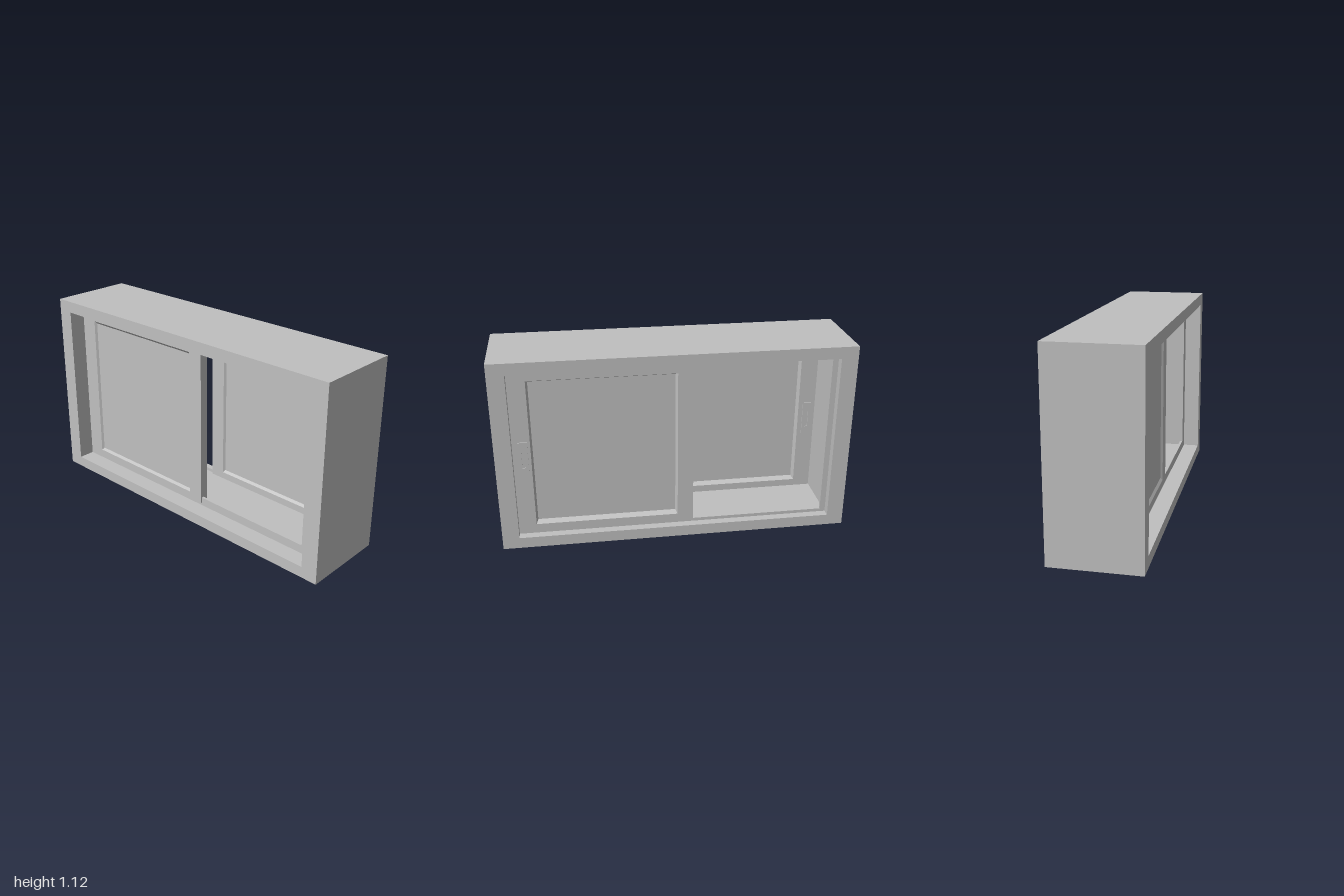
import * as THREE from 'three';

// Lofts rectangular loops [x, z0, z1, y0, y1]; either caps both ends or closes into a ring
function loftRects(loops, closed) {
  const corners = loops.map(([x, z0, z1, y0, y1]) =>
    [[x, y0, z1], [x, y0, z0], [x, y1, z0], [x, y1, z1]]);
  const pos = [];
  const quad = (a, b, c, d) => [a, b, c, a, c, d].forEach((p) => pos.push(...p));
  const n = corners.length;
  for (let k = 0; k < (closed ? n : n - 1); k++) {
    const A = corners[k], B = corners[(k + 1) % n];
    for (let i = 0; i < 4; i++) {
      const j = (i + 1) % 4;
      quad(A[i], A[j], B[j], B[i]);
    }
  }
  if (!closed) {
    const S = corners[0], E = corners[n - 1];
    quad(S[3], S[2], S[1], S[0]);
    quad(E[0], E[1], E[2], E[3]);
  }
  const g = new THREE.BufferGeometry();
  g.setAttribute('position', new THREE.Float32BufferAttribute(pos, 3));
  g.computeVertexNormals();
  return g;
}

// Rectangular ring between x0 and x1 with an outer and an inner rectangle
function ring(x0, x1, outer, inner) {
  return loftRects([[x0, ...outer], [x1, ...outer], [x1, ...inner], [x0, ...inner]], true);
}

export function createModel() {
  const group = new THREE.Group();
  const grey = new THREE.MeshStandardMaterial({ color: 0xc0c0c0 });
  grey.name = 'grey';

  const add = (name, geometry, parent = group) => {
    const m = new THREE.Mesh(geometry, grey);
    m.name = name;
    parent.add(m);
    return m;
  };

  // Deep outer casing
  const opening = [-0.905, 0.905, 0.065, 1.052];
  add('outerFrame', ring(-0.25, 0.25, [-1, 1, 0, 1.12], opening));

  // Guide rails the sashes run in
  add('frontRail', ring(0.188, 0.203, opening, [-0.873, 0.885, 0.084, 1.037]));
  add('backRail', ring(-0.152, -0.137, opening, [-0.83, 0.83, 0.115, 1.002]));

  // Sash: flat border with splayed reveals down to a thin pane on both sides
  function sash(name, x, outer, glass, handleZ) {
    const s = new THREE.Group();
    s.name = name;
    const [z0, z1, y0, y1] = glass;
    const pane = [z0 + 0.01, z1 - 0.01, y0 + 0.014, y1 - 0.014];
    add('sashPanel', loftRects([
      [x + 0.012, ...pane],
      [x, ...glass],
      [x, ...outer],
      [x + 0.05, ...outer],
      [x + 0.05, ...glass],
      [x + 0.018, ...pane],
    ], false), s);

    // Slim pull plate with a slot
    const w = 0.026, h = 0.1;
    const plate = new THREE.Shape([
      new THREE.Vector2(-w, -h), new THREE.Vector2(w, -h),
      new THREE.Vector2(w, h), new THREE.Vector2(-w, h)]);
    plate.holes.push(new THREE.Path([
      new THREE.Vector2(-0.009, -0.055), new THREE.Vector2(-0.009, 0.055),
      new THREE.Vector2(0.009, 0.055), new THREE.Vector2(0.009, -0.055)]));
    const pull = add('pullPlate',
      new THREE.ExtrudeGeometry(plate, { depth: 0.006, bevelEnabled: false }), s);
    pull.rotation.y = Math.PI / 2;
    pull.position.set(x + 0.05, 0.545, handleZ);
    group.add(s);
  }
  sash('frontSash', 0.155, [-0.1, 0.886, 0.08, 1.04], [-0.01, 0.805, 0.122, 1.0], 0.847);
  sash('backSash', -0.157, [-0.887, 0.1, 0.08, 1.04], [-0.795, 0.01, 0.122, 1.0], -0.847);

  return group;
}
